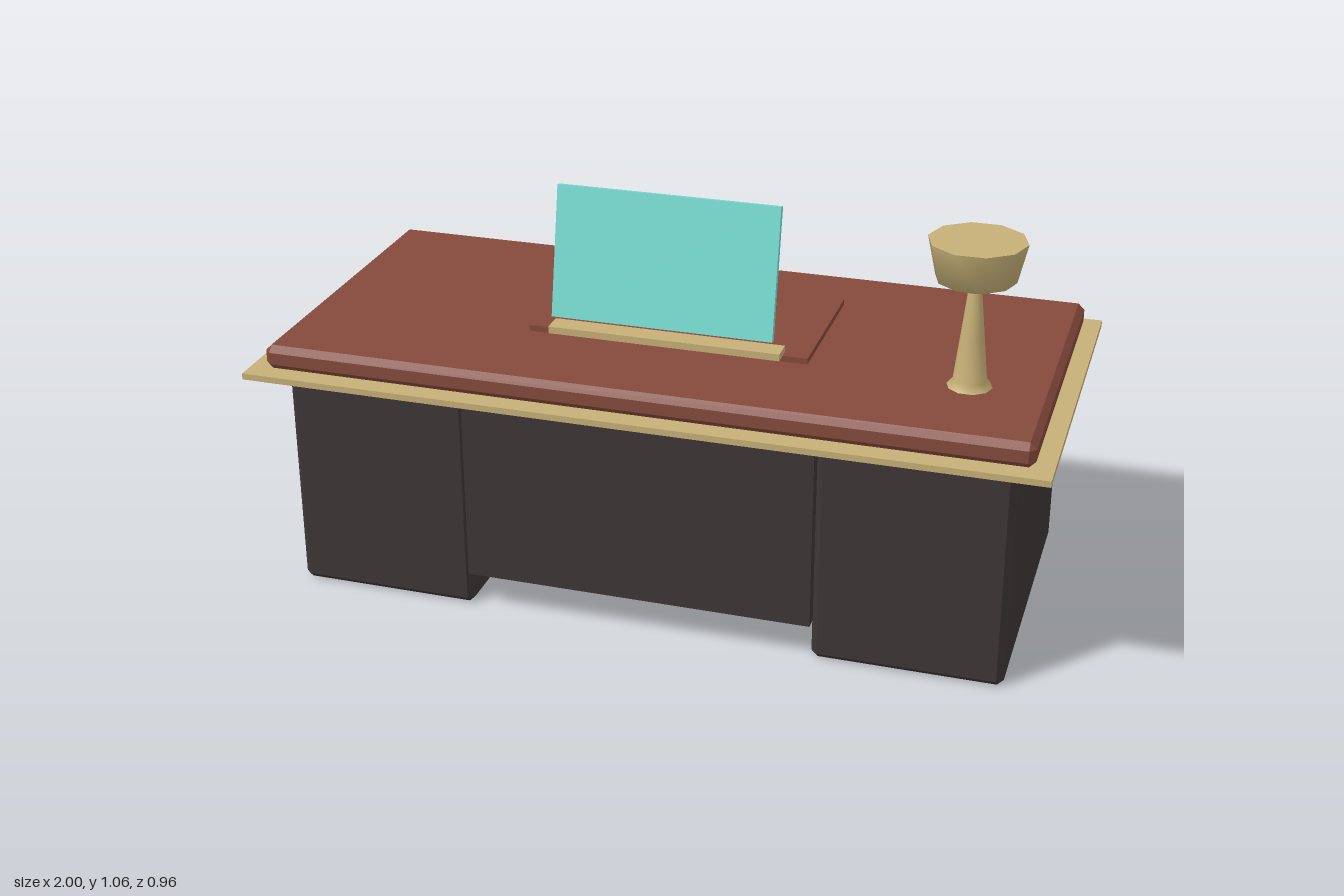
import * as THREE from 'three';
import { ConvexGeometry } from 'three/addons/geometries/ConvexGeometry.js';

function material(name, color) {
  const m = new THREE.MeshStandardMaterial({ color });
  m.name = name;
  return m;
}

// Box with every edge cut at 45 degrees by c
function chamferBox(w, h, d, c) {
  const [x, y, z] = [w / 2, h / 2, d / 2];
  const points = [];
  for (const sx of [-1, 1]) for (const sy of [-1, 1]) for (const sz of [-1, 1]) {
    points.push(
      new THREE.Vector3(sx * x, sy * (y - c), sz * (z - c)),
      new THREE.Vector3(sx * (x - c), sy * y, sz * (z - c)),
      new THREE.Vector3(sx * (x - c), sy * (y - c), sz * z)
    );
  }
  return new ConvexGeometry(points);
}

export function createModel() {
  const wood = material('red wood', 0x844a3c);
  const dark = material('dark panel', 0x3d3636);
  const brass = material('brass', 0xc6b077);
  const screenGlow = material('turquoise screen', 0x77dcd2);

  const desk = new THREE.Group();
  desk.name = 'desk';

  function add(parent, name, geometry, mat, x, y, z) {
    const mesh = new THREE.Mesh(geometry, mat);
    mesh.name = name;
    mesh.position.set(x, y, z);
    parent.add(mesh);
    return mesh;
  }
  const box = (w, h, d) => new THREE.BoxGeometry(w, h, d);

  // Pedestals with three drawers on the back side
  for (const side of [-1, 1]) {
    const pedestal = new THREE.Group();
    pedestal.name = side > 0 ? 'leftPedestal' : 'rightPedestal';
    pedestal.position.x = side * 0.679;
    add(pedestal, 'pedestalBody', chamferBox(0.473, 0.594, 0.8, 0.016), dark, 0, 0.297, 0);
    for (const y of [0.13, 0.313, 0.497]) {
      add(pedestal, 'drawerFront', box(0.41, 0.142, 0.032), wood, 0, y, -0.399);
      add(pedestal, 'drawerHandle', box(0.13, 0.016, 0.022), brass, 0, y, -0.422);
    }
    desk.add(pedestal);
  }

  // Front panel between the pedestals
  add(desk, 'modestyPanel', box(0.887, 0.478, 0.036), dark, 0, 0.339, 0.4);

  // Worktop on its wider brass trim plate
  add(desk, 'trimPlate', box(2, 0.016, 0.957), brass, 0, 0.602, 0);
  add(desk, 'worktop', chamferBox(1.914, 0.063, 0.88, 0.016), wood, 0, 0.6415, 0);
  add(desk, 'blotter', box(0.72, 0.017, 0.396), wood, 0, 0.68, -0.042);

  // Tilted screen floating over its base bar
  add(desk, 'screenBase', box(0.594, 0.018, 0.056), brass, 0, 0.696, 0.16);
  const screen = add(desk, 'screen', box(0.564, 0.33, 0.016), screenGlow, 0, 0.9, 0.161);
  screen.rotation.x = -0.2;

  // Ten-sided goblet lamp
  const lamp = new THREE.Group();
  lamp.name = 'lamp';
  lamp.position.set(0.757, 0, 0.161);
  const turned = (profile) => new THREE.LatheGeometry(
    profile.map(([r, y]) => new THREE.Vector2(r, y)), 10, Math.PI / 2);
  add(lamp, 'lampStem', turned([[0.056, 0.672], [0.041, 0.69], [0.029, 0.8], [0.0165, 0.916]]), brass, 0, 0, 0);
  add(lamp, 'lampBowl', turned([[0.0165, 0.914], [0.096, 0.946], [0.1176, 1.042]]), brass, 0, 0, 0);
  const cap = add(lamp, 'lampTop', new THREE.CircleGeometry(0.1176, 10), brass, 0, 1.042, 0);
  cap.rotation.x = -Math.PI / 2;
  desk.add(lamp);

  return desk;
}
